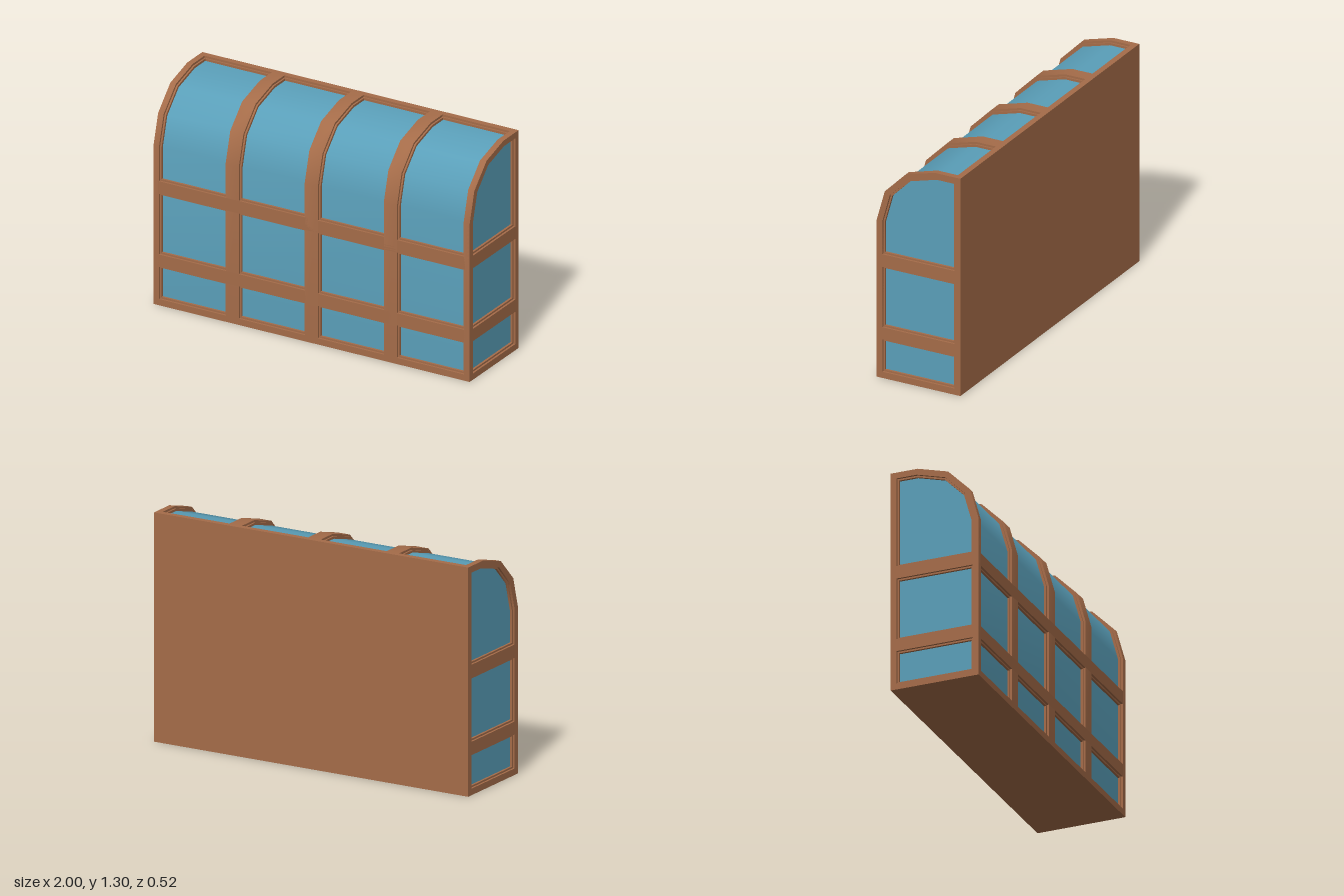
import * as THREE from 'three';
import { toCreasedNormals } from 'three/addons/utils/BufferGeometryUtils.js';

// Outer side profile as [z, y], from the front foot over the curve to the back
const ARC = [[0.26, 0], [0.26, 0.94], [0.21, 1.12], [0.08, 1.25], [-0.1, 1.3], [-0.26, 1.3]];
const STEP = 0.012;   // depth of the inner lip
const GLASS = 0.025;  // depth of the glass
const LIP = 0.01;     // width of the inner lip
const EDGE = 0.035;   // frame width at corners
const BARS = [[0, 0.037], [0.23, 0.303], [0.665, 0.74]];

// Profile moved inwards by d, starting at height yStart and ending at depth zEnd
function arc(d, yStart = 0, zEnd = -0.26) {
  const normal = (i) => {
    const [a, b] = [ARC[i], ARC[i + 1]];
    return new THREE.Vector2(b[1] - a[1], a[0] - b[0]).normalize();
  };
  const pts = ARC.map(([z, y], i) => {
    const n1 = normal(Math.max(i - 1, 0));
    const n2 = normal(Math.min(i, ARC.length - 2));
    const k = d / (1 + n1.dot(n2));
    return new THREE.Vector2(z - k * (n1.x + n2.x), y - k * (n1.y + n2.y));
  });
  pts[0].y = yStart;
  pts[pts.length - 1].x = zEnd;
  return pts;
}

function closed(d, yBottom, zBack) {
  return [...arc(d, yBottom, zBack), new THREE.Vector2(zBack, yBottom)];
}

// Extrude a z-y shape along x, smooth over the curve
function extrudeX(shape, width, x) {
  const g = new THREE.ExtrudeGeometry(shape, { depth: width, bevelEnabled: false });
  g.translate(0, 0, -width / 2).rotateY(-Math.PI / 2).translate(x, 0, 0);
  return toCreasedNormals(g, 0.6);
}

export function createModel() {
  const model = new THREE.Group();
  const wood = new THREE.MeshStandardMaterial({ color: 0xa56c49 });
  wood.name = 'brown frame';
  const glass = new THREE.MeshStandardMaterial({ color: 0x5a9fb9 });
  glass.name = 'blue glass';

  const add = (name, geometry, material = wood) => {
    const mesh = new THREE.Mesh(geometry, material);
    mesh.name = name;
    model.add(mesh);
  };
  const box = (name, x0, x1, y0, y1, z0, z1) => {
    const g = new THREE.BoxGeometry(x1 - x0, y1 - y0, z1 - z0);
    add(name, g.translate((x0 + x1) / 2, (y0 + y1) / 2, (z0 + z1) / 2));
  };

  // Glass body, back board and base
  add('glassBody', extrudeX(new THREE.Shape(closed(GLASS, 0.01, -0.25)), 2 * (1 - GLASS), 0), glass);
  box('backBoard', -1, 1, 0, 1.3, -0.26, -0.245);
  box('base', -1, 1, 0, 0.015, -0.26, 0.26);

  // Curved ribs, each with a sunken lip
  const rib = (name, x0, x1, d) => {
    const band = new THREE.Shape([...arc(d), ...arc(EDGE).reverse()]);
    add(name, extrudeX(band, x1 - x0, (x0 + x1) / 2));
  };
  for (const x of [-0.5, 0, 0.5]) {
    rib('rib', x - 0.04, x + 0.04, 0);
    rib('ribLip', x - 0.04 - LIP, x + 0.04 + LIP, STEP);
  }
  rib('leftEndRib', 1 - EDGE, 1, 0);
  rib('leftEndRibLip', 1 - EDGE - LIP, 1 - STEP, STEP);
  rib('rightEndRib', -1, EDGE - 1, 0);
  rib('rightEndRibLip', STEP - 1, EDGE + LIP - 1, STEP);

  // Front rails and the rail along the top of the back
  for (const [y0, y1] of BARS) {
    box('frontRail', -0.97, 0.97, y0, y1, 0.22, 0.26);
    box('frontRailLip', -0.97, 0.97, Math.max(y0 - LIP, 0), y1 + LIP, 0.22, 0.26 - STEP);
  }
  box('topRail', -0.97, 0.97, 1.26, 1.3, -0.26, -0.26 + EDGE);
  box('topRailLip', -0.97, 0.97, 1.26, 1.3 - STEP, -0.26, -0.26 + EDGE + LIP);

  // End frames with three openings, in an outer and a lip layer
  const endFrame = (d, inset) => {
    const shape = new THREE.Shape(closed(d, 0, -0.26));
    const z = 0.26 - EDGE - inset;
    for (let i = 0; i < 2; i++) {
      const y0 = BARS[i][1] + inset, y1 = BARS[i + 1][0] - inset;
      shape.holes.push(new THREE.Path([[-z, y0], [z, y0], [z, y1], [-z, y1]]
        .map(([a, b]) => new THREE.Vector2(a, b))));
    }
    shape.holes.push(new THREE.Path(closed(EDGE + inset, BARS[2][1] + inset, -z)));
    return shape;
  };
  for (const [side, s] of [['left', 1], ['right', -1]]) {
    add(side + 'EndFrame', extrudeX(endFrame(0, 0), STEP, s * (1 - STEP / 2)));
    add(side + 'EndFrameLip', extrudeX(endFrame(STEP, LIP), 0.02, s * (1 - STEP - 0.01)));
  }
  return model;
}
